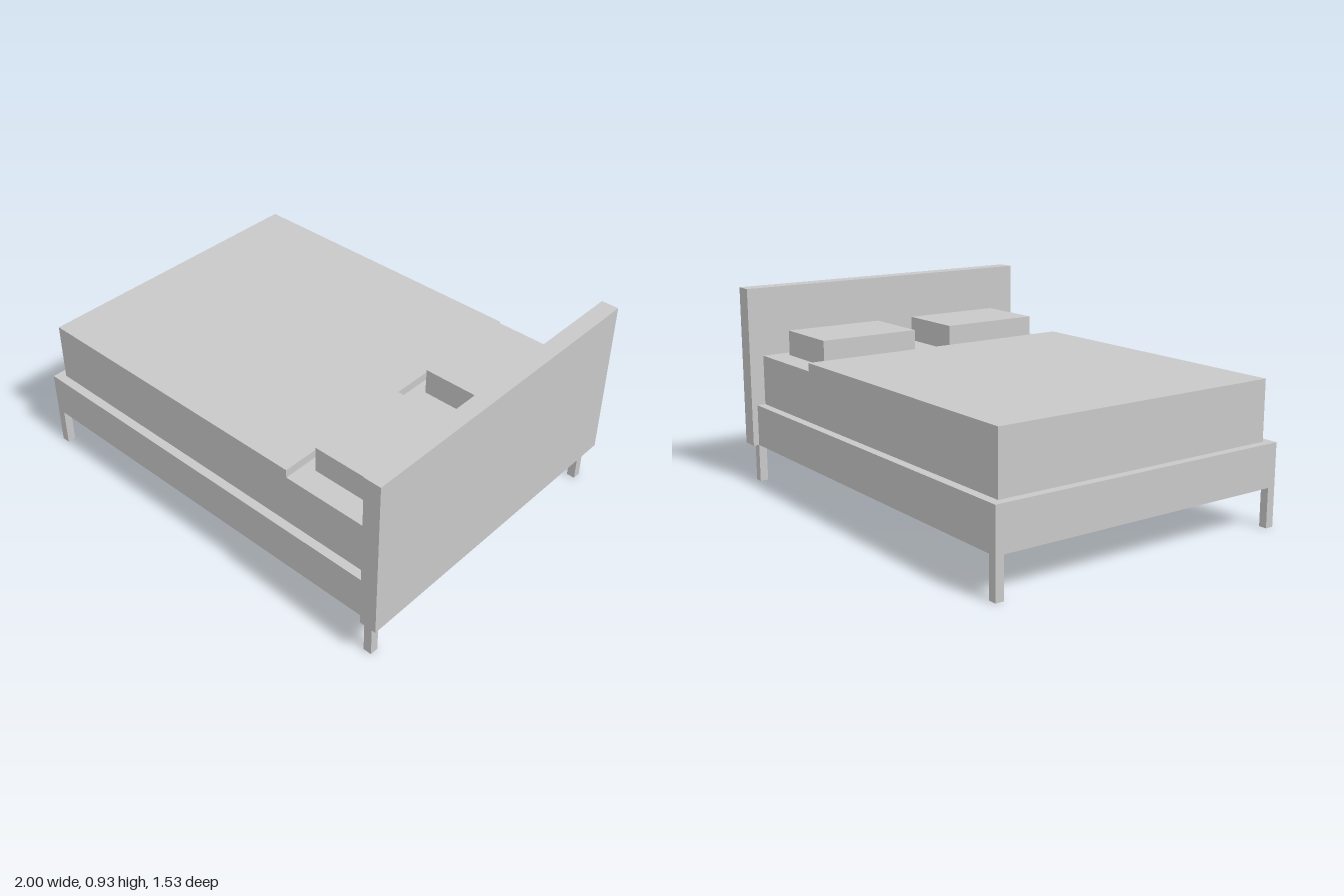
import * as THREE from 'three';

export function createModel() {
  const group = new THREE.Group();
  const grey = new THREE.MeshStandardMaterial({ color: 0xc8c8c8 });
  grey.name = 'light grey';

  // Box given by its lower and upper corners
  function box(name, [x0, y0, z0], [x1, y1, z1]) {
    const mesh = new THREE.Mesh(new THREE.BoxGeometry(x1 - x0, y1 - y0, z1 - z0), grey);
    mesh.position.set((x0 + x1) / 2, (y0 + y1) / 2, (z0 + z1) / 2);
    mesh.name = name;
    group.add(mesh);
  }

  // Headboard and bed base
  box('headboard', [0.92, 0.18, -0.763], [1, 0.932, 0.763]);
  box('bedBase', [-1, 0.18, -0.735], [0.92, 0.375, 0.735]);

  // Mattress with its raised cover, as one stepped side profile
  const profile = new THREE.Shape([
    [-0.96, 0.375], [0.92, 0.375], [0.92, 0.61],
    [0.465, 0.61], [0.465, 0.648], [-0.96, 0.648],
  ].map(([x, y]) => new THREE.Vector2(x, y)));
  const mattress = new THREE.Mesh(
    new THREE.ExtrudeGeometry(profile, { depth: 1.388, bevelEnabled: false }), grey);
  mattress.position.z = -0.694;
  mattress.name = 'mattress';
  group.add(mattress);

  // Pillows and legs, mirrored front to back
  for (const [side, s] of [['Front', 1], ['Back', -1]]) {
    const span = (a, b) => (s > 0 ? [a, b] : [-b, -a]);
    const [p0, p1] = span(0.098, 0.586);
    box('pillow' + side, [0.52, 0.61, p0], [0.86, 0.728, p1]);
    const [l0, l1] = span(0.696, 0.735);
    box('footLeg' + side, [-1, 0, l0], [-0.961, 0.18, l1]);
    box('headLeg' + side, [0.92, 0, l0], [0.959, 0.18, l1]);
  }

  return group;
}
